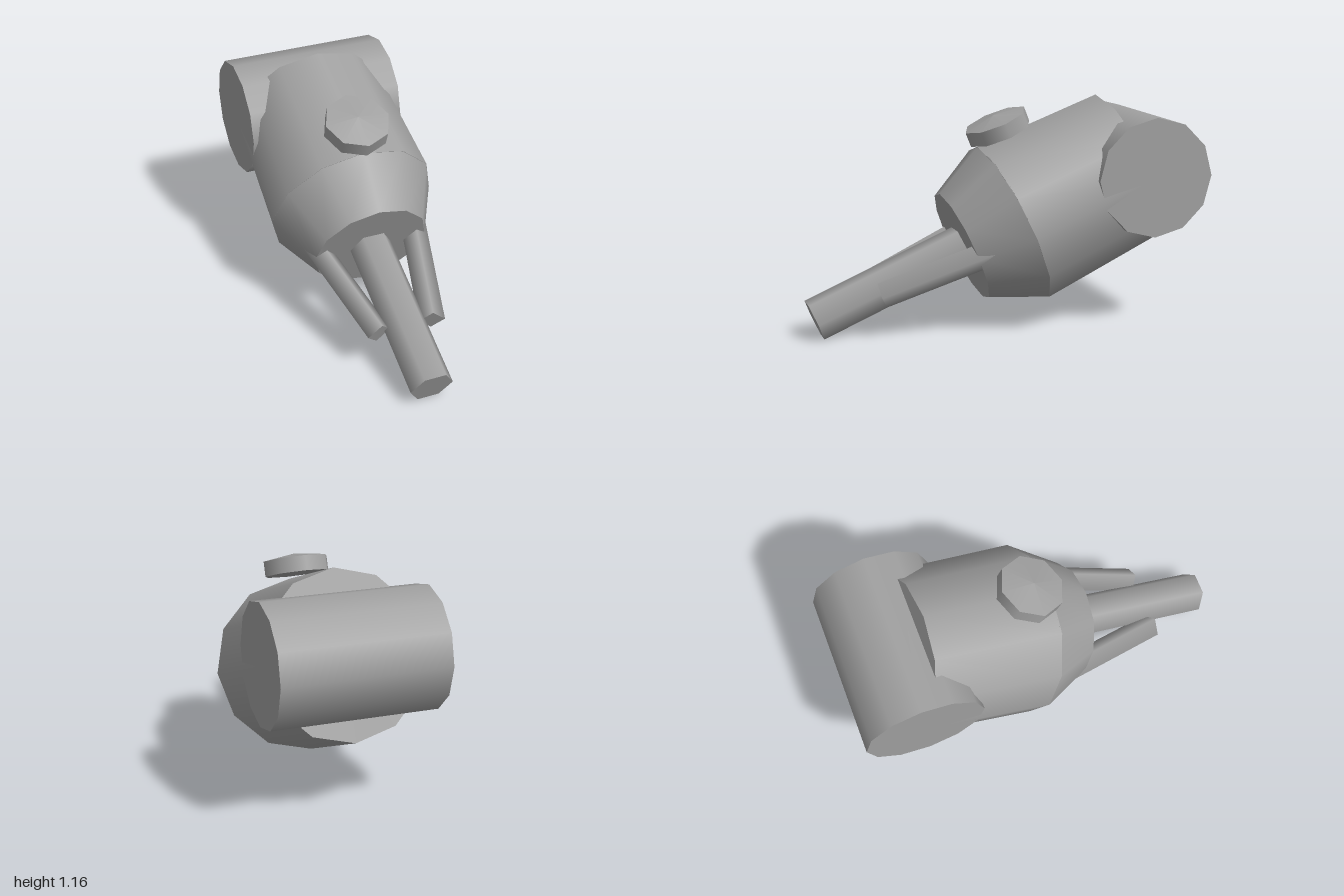
import * as THREE from 'three';

const V = (x, y, z) => new THREE.Vector3(x, y, z);
const UP = V(0, 1, 0);
const SIDE = V(1, 0, 0);

// Prism or cone from a (radius ra) to b (radius rb); one corner points along hint.
function rod(name, material, a, b, ra, rb, sides, hint, open = false) {
  const axis = b.clone().sub(a);
  const geometry = new THREE.CylinderGeometry(rb, ra, axis.length(), sides, 1, open);
  axis.normalize();
  const x = axis.clone().cross(hint).normalize();
  const z = x.clone().cross(axis);
  geometry.applyMatrix4(new THREE.Matrix4().makeBasis(x, axis, z));
  const mesh = new THREE.Mesh(geometry, material);
  mesh.name = name;
  mesh.position.copy(a).add(b).multiplyScalar(0.5);
  return mesh;
}

export function createModel() {
  const group = new THREE.Group();
  group.name = 'gunTurret';
  const grey = new THREE.MeshStandardMaterial({ color: 0xa0a0a0 });
  grey.name = 'grey';

  // Housing: a short front taper and a long, slightly narrowing body
  const nose = V(0, 0.413, 0.195);
  const shoulder = V(0, 0.518, -0.06);
  const rear = V(0, 0.785, -0.692);
  group.add(rod('housingNose', grey, nose, shoulder, 0.3, 0.438, 12, UP));
  group.add(rod('housingBody', grey, shoulder, rear, 0.438, 0.411, 12, UP));

  // Cross drum at the back
  group.add(rod('rearDrum', grey, V(-0.414, 0.785, -0.697), V(0.414, 0.785, -0.697), 0.303, 0.303, 12, UP));

  // Central barrel, on the housing axis
  group.add(rod('mainBarrel', grey, V(0, 0.09, 0.964), V(0, 0.435, 0.142), 0.111, 0.111, 6, SIDE));

  // Two square side barrels splaying outwards
  for (const s of [1, -1]) {
    const tip = V(0.141 * s, 0.226, 0.648);
    const back = tip.clone().addScaledVector(V(0.22 * s, 0.355, -0.908), 0.6);
    group.add(rod(s > 0 ? 'leftBarrel' : 'rightBarrel', grey, tip, back, 0.066, 0.066, 4, UP));
  }

  // Octagonal hatch with a shallow pointed lid
  const hatchBase = V(0, 0.985, -0.013);
  const hatchTop = V(0, 1.055, 0.015);
  const back = V(0, 0.38, -0.92);
  group.add(rod('hatch', grey, hatchBase, hatchTop, 0.167, 0.167, 8, back));
  group.add(rod('hatchLid', grey, hatchTop, V(0, 1.08, 0.025), 0.167, 0, 8, back, true));

  return group;
}
